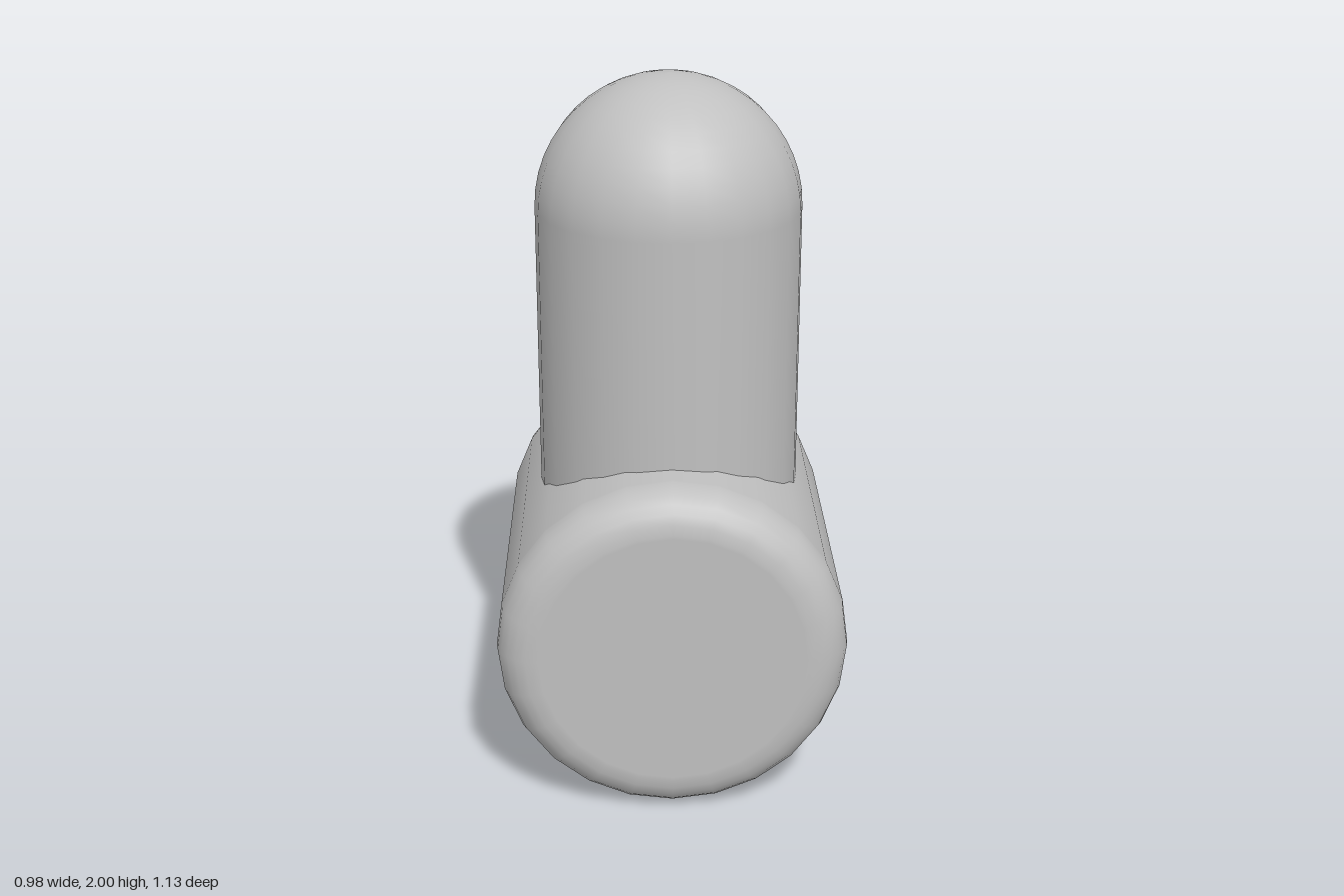
import * as THREE from 'three';

const SIDES = 24;

// Quarter-circle of profile points around (cx, cy), from angle a0 to a1
function arc(cx, cy, r, a0, a1, steps) {
  const pts = [];
  for (let i = 0; i <= steps; i++) {
    const a = a0 + ((a1 - a0) * i) / steps;
    pts.push(new THREE.Vector2(Math.max(0, cx + r * Math.cos(a)), cy + r * Math.sin(a)));
  }
  return pts;
}

function lathe(name, points, material) {
  const mesh = new THREE.Mesh(new THREE.LatheGeometry(points, SIDES), material);
  mesh.name = name;
  return mesh;
}

export function createModel() {
  const group = new THREE.Group();
  group.name = 'domedPostOnBarrel';
  const grey = new THREE.MeshStandardMaterial({ color: 0xc0c0c0 });
  grey.name = 'light grey';

  // Horizontal barrel with rounded rims, lying along z
  const R = 0.49, H = 0.565, B = 0.11, Q = Math.PI / 2;
  const barrel = lathe('barrel', [
    new THREE.Vector2(0, -H),
    new THREE.Vector2(R - B - 0.01, -H),
    ...arc(R - B, -H + B, B, -Q, 0, 6),
    new THREE.Vector2(R, -H + B + 0.01),
    new THREE.Vector2(R, H - B - 0.01),
    ...arc(R - B, H - B, B, 0, Q, 6),
    new THREE.Vector2(R - B - 0.01, H),
    new THREE.Vector2(0, H),
  ], grey);
  barrel.rotation.x = Q;
  barrel.position.y = R;
  group.add(barrel);

  // Upright post with a hemispherical top, rising from inside the barrel
  const r = 0.375;
  group.add(lathe('domedPost', [
    new THREE.Vector2(r, 0.6),
    ...arc(0, 2 - r, r, 0, Q, 12),
  ], grey));

  return group;
}
